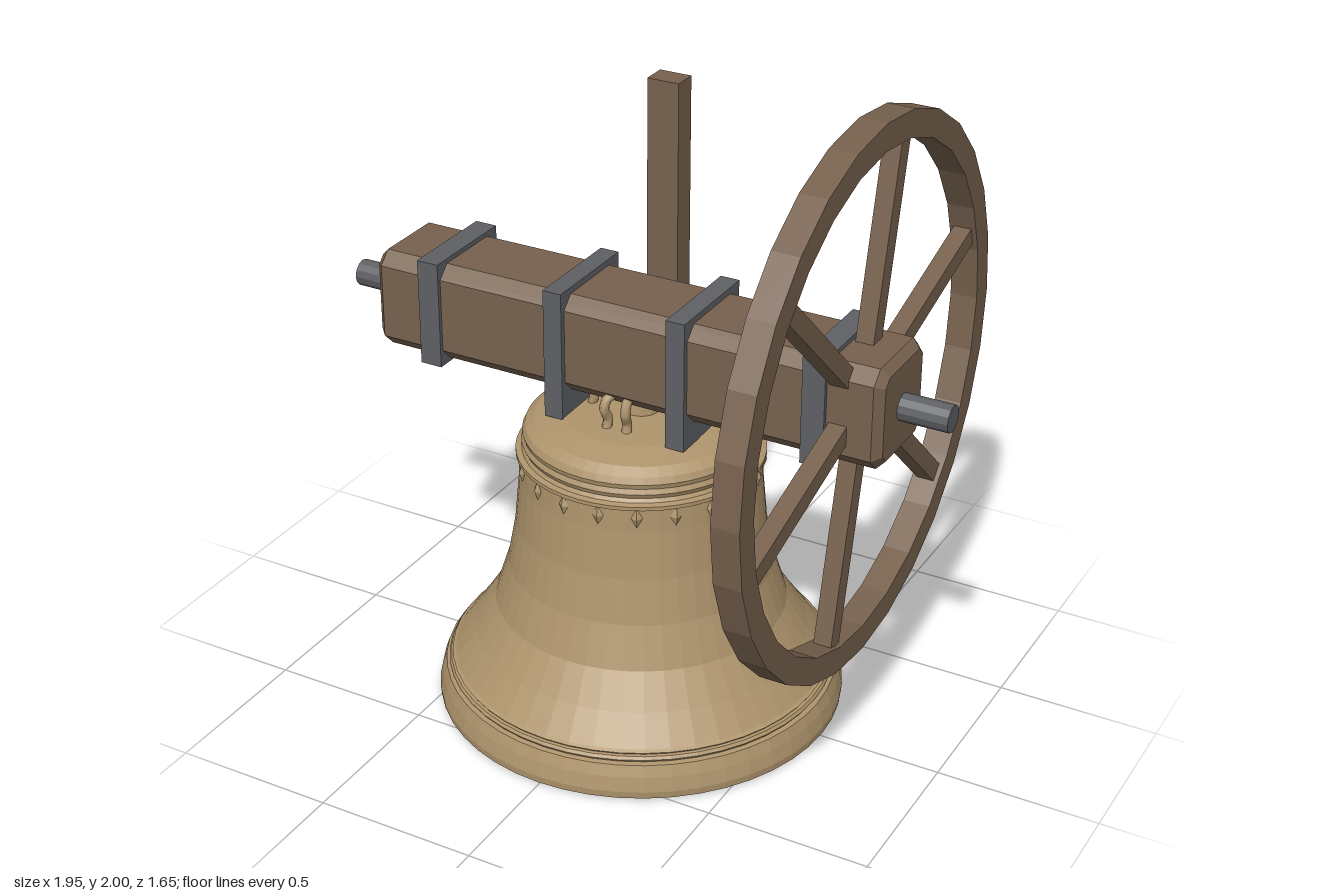
import * as THREE from 'three';

const bronze = new THREE.MeshStandardMaterial({ color: 0xae946c });
bronze.name = 'bronze';
const wood = new THREE.MeshStandardMaterial({ color: 0x77614e });
wood.name = 'wood';
const iron = new THREE.MeshStandardMaterial({ color: 0x5e6064 });
iron.name = 'iron';

const AXLE_Y = 1.185;

// Faceted normals
function faceted(geometry) {
  const g = geometry.index ? geometry.toNonIndexed() : geometry;
  g.computeVertexNormals();
  return g;
}

function add(parent, name, geometry, material, x = 0, y = 0, z = 0) {
  const mesh = new THREE.Mesh(geometry, material);
  mesh.name = name;
  mesh.position.set(x, y, z);
  parent.add(mesh);
  return mesh;
}

function makeBell() {
  const bell = new THREE.Group();
  bell.name = 'bell';

  // Closed shell: down the inside, across the lip, up the outside
  const profile = [
    [0, 0.89], [0.24, 0.88], [0.29, 0.82], [0.31, 0.65], [0.34, 0.47], [0.39, 0.32],
    [0.46, 0.19], [0.51, 0.1], [0.54, 0.005],
    [0.61, 0], [0.622, 0.008], [0.624, 0.03], [0.614, 0.075], [0.602, 0.11],
    [0.587, 0.113], [0.593, 0.122], [0.587, 0.131], [0.578, 0.133], [0.582, 0.139], [0.572, 0.145],
    [0.51, 0.23], [0.445, 0.33], [0.403, 0.46], [0.378, 0.6], [0.364, 0.75],
    [0.361, 0.825], [0.373, 0.828], [0.373, 0.84], [0.355, 0.844], [0.348, 0.855],
    [0.355, 0.87], [0.348, 0.885], [0.352, 0.9], [0.343, 0.92], [0.315, 0.94],
    [0.3, 0.943], [0.23, 0.958], [0, 0.965]
  ].map(([r, y]) => new THREE.Vector2(r, y));
  add(bell, 'bellShell', faceted(new THREE.LatheGeometry(profile, 48)), bronze);

  // Ring of small diamond ornaments
  for (let i = 0; i < 20; i++) {
    const a = ((i + 0.5) / 20) * Math.PI * 2;
    const d = add(bell, 'diamondOrnament', new THREE.OctahedronGeometry(1), bronze,
      Math.sin(a) * 0.362, 0.797, Math.cos(a) * 0.362);
    d.scale.set(0.017, 0.033, 0.012);
    d.rotation.y = a;
  }

  // Crown: central post with curved loops around it
  add(bell, 'crownPost', faceted(new THREE.CylinderGeometry(0.05, 0.06, 0.1, 12)), bronze, 0, 1.0, 0);
  const loop = new THREE.CatmullRomCurve3([
    [0.04, 1.03], [0.1, 1.05], [0.148, 1.05], [0.162, 1.02], [0.145, 0.985], [0.155, 0.945]
  ].map(([r, y]) => new THREE.Vector3(0, y, r)));
  const loopGeometry = new THREE.TubeGeometry(loop, 14, 0.015, 7);
  for (let q = 0; q < 4; q++) {
    for (const side of [-1, 1]) {
      add(bell, 'crownLoop', loopGeometry, bronze).rotation.y = q * Math.PI / 2 + side * 0.22;
    }
  }

  // Clapper hanging inside
  const clapper = new THREE.Group();
  clapper.name = 'clapper';
  bell.add(clapper);
  add(clapper, 'clapperRod', new THREE.CylinderGeometry(0.018, 0.018, 0.44, 10), iron, 0, 0.68, 0);
  add(clapper, 'clapperBall', new THREE.SphereGeometry(0.08, 16, 12), iron, 0, 0.46, 0);
  add(clapper, 'clapperTip', new THREE.CylinderGeometry(0.025, 0.025, 0.16, 10), iron, 0, 0.33, 0);
  return bell;
}

function makeHeadstock() {
  const headstock = new THREE.Group();
  headstock.name = 'headstock';

  // Beam with every edge chamfered
  const c = 0.025, h = 0.155 - c, w = 0.15 - c;
  const section = new THREE.Shape([
    [w, -h + c], [w, h - c], [w - c, h], [-w + c, h],
    [-w, h - c], [-w, -h + c], [-w + c, -h], [w - c, -h]
  ].map(([x, y]) => new THREE.Vector2(x, y)));
  const length = 1.65 - 2 * c;
  const beam = new THREE.ExtrudeGeometry(section, {
    depth: length, bevelEnabled: true, bevelSize: c, bevelThickness: c, bevelSegments: 1
  });
  beam.translate(0, 0, -length / 2).rotateY(Math.PI / 2);
  add(headstock, 'beam', beam, wood, 0, AXLE_Y, 0);

  for (const s of [-1, 1]) {
    // Axle pins
    const pin = new THREE.CylinderGeometry(0.041, 0.041, 0.2, 12).rotateZ(Math.PI / 2);
    add(headstock, 'axlePin', faceted(pin), iron, s * 0.875, AXLE_Y - 0.005, 0);
    // Iron bands and the longer straps that hold the bell
    add(headstock, 'outerBand', new THREE.BoxGeometry(0.07, 0.335, 0.325), iron, s * 0.627, AXLE_Y + 0.002, 0);
    add(headstock, 'bellStrap', new THREE.BoxGeometry(0.06, 0.405, 0.335), iron, s * 0.2, 1.157, 0);
  }

  // Upright stay on the back of the beam
  add(headstock, 'stay', new THREE.BoxGeometry(0.1, 0.7, 0.075), wood, 0, 1.59, -0.1625);
  return headstock;
}

function makeWheel() {
  const wheel = new THREE.Group();
  wheel.name = 'wheel';
  wheel.position.set(0.698, 1.177, 0);

  // Faceted rim
  const ring = (r) => Array.from({ length: 28 }, (_, i) => {
    const a = (i / 28) * Math.PI * 2;
    return new THREE.Vector2(Math.cos(a) * r, Math.sin(a) * r);
  });
  const shape = new THREE.Shape(ring(0.823));
  shape.holes.push(new THREE.Path(ring(0.742)));
  const rim = new THREE.ExtrudeGeometry(shape, { depth: 0.084, bevelEnabled: false });
  rim.translate(0, 0, -0.042).rotateY(Math.PI / 2);
  add(wheel, 'rim', rim, wood);

  // Six spokes
  const spoke = new THREE.BoxGeometry(0.055, 0.68, 0.057).translate(0, 0.41, 0);
  for (let i = 0; i < 6; i++) {
    add(wheel, 'spoke', spoke, wood).rotation.x = -THREE.MathUtils.degToRad(13 + i * 60);
  }
  return wheel;
}

export function createModel() {
  const model = new THREE.Group();
  model.name = 'hungBell';
  model.add(makeBell(), makeHeadstock(), makeWheel());
  return model;
}
